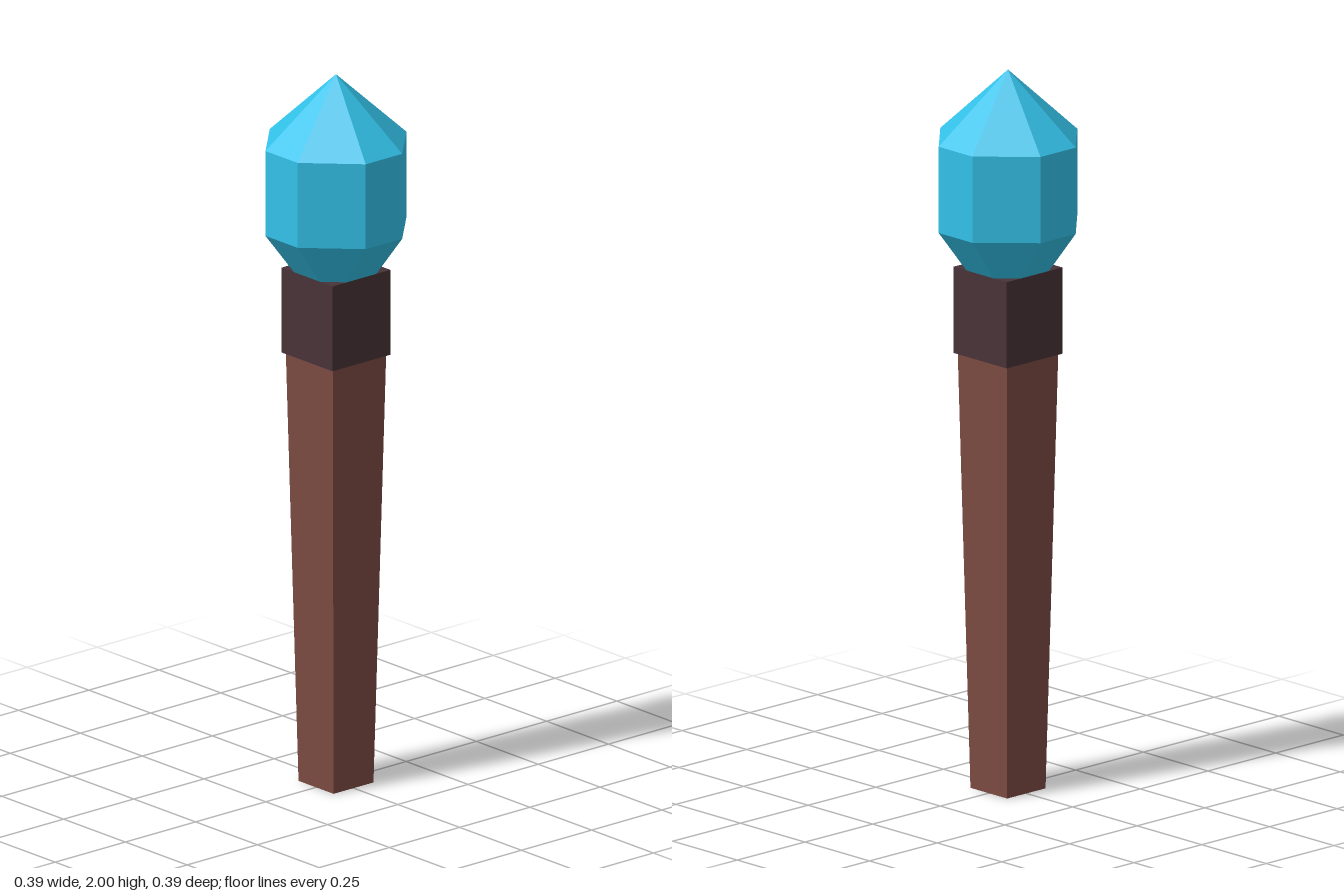
import * as THREE from 'three';

// Square cross-section at height y; a cut smaller than half makes it a chamfered octagon
function ring(y, half, cut = half) {
  const corners = [];
  for (let i = 0; i < 4; i++) {
    const side = cut < half ? [[-cut, half], [cut, half]] : [[half, half]];
    for (const [x, z] of side) {
      corners.push(new THREE.Vector3(x, y, z).applyAxisAngle(new THREE.Vector3(0, 1, 0), i * Math.PI / 2));
    }
  }
  return corners;
}

// Skin a stack of rings from bottom to top, closing both ends;
// the top closes on a point at height tip
function loft(rings, tip) {
  const pos = [];
  const tri = (...points) => points.forEach((p) => pos.push(p.x, p.y, p.z));
  const n = rings[0].length;
  const base = new THREE.Vector3(0, rings[0][0].y, 0);
  const apex = new THREE.Vector3(0, tip, 0);
  const last = rings[rings.length - 1];
  for (let i = 0; i < n; i++) {
    const j = (i + 1) % n;
    tri(base, rings[0][j], rings[0][i]);
    for (let k = 0; k < rings.length - 1; k++) {
      const lo = rings[k], up = rings[k + 1];
      tri(lo[i], lo[j], up[j]);
      tri(lo[i], up[j], up[i]);
    }
    tri(last[i], last[j], apex);
  }
  const geometry = new THREE.BufferGeometry();
  geometry.setAttribute('position', new THREE.Float32BufferAttribute(pos, 3));
  geometry.computeVertexNormals();
  return geometry;
}

export function createModel() {
  const group = new THREE.Group();
  const add = (name, geometry, color) => {
    const mesh = new THREE.Mesh(geometry, new THREE.MeshStandardMaterial({ color, flatShading: true }));
    mesh.name = name;
    group.add(mesh);
    return mesh;
  };

  // Tapered square handle, wider toward the top
  add('handle', loft([ring(0, 0.071), ring(1.21, 0.095)], 1.21), 0x7b4b42);

  // Dark square collar holding the gem
  add('collar', new THREE.BoxGeometry(0.206, 0.24, 0.206), 0x483338).position.y = 1.33;

  // Faceted eight-sided gem with a pointed top
  add('gem', loft([ring(1.45, 0.103, 0.053), ring(1.57, 0.194, 0.065), ring(1.81, 0.194, 0.065)], 2), 0x33c1e8);

  return group;
}
